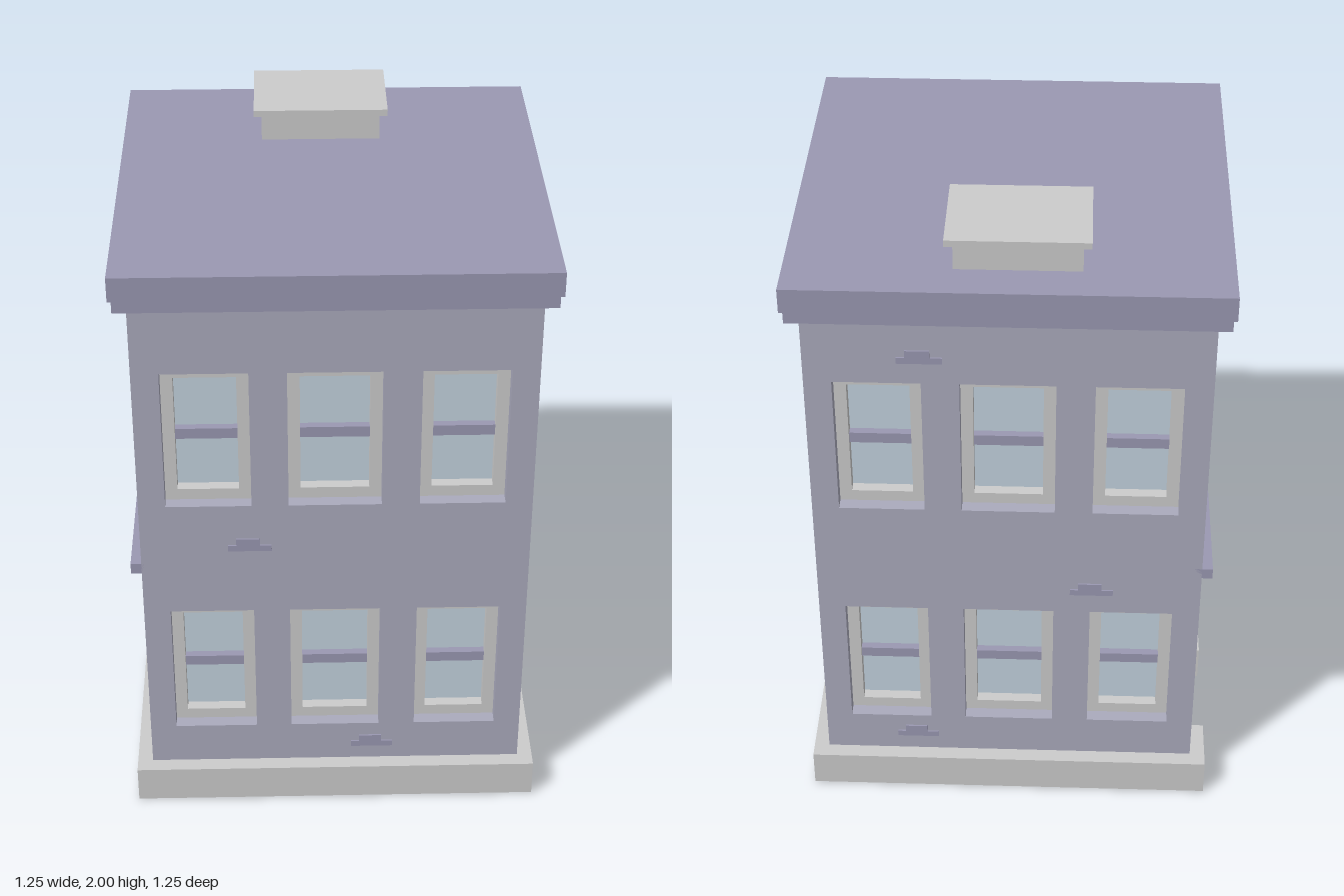
import * as THREE from 'three';

const mat = (color) => new THREE.MeshStandardMaterial({ color });
const stone = mat(0xcccccc), brick = mat(0xaaaabc), trim = mat(0x9a98b2), glass = mat(0xc2d2de);
const HALF = 0.58, WALL = 0.08;

function add(parent, name, geometry, material) {
  const mesh = new THREE.Mesh(geometry, material);
  mesh.name = name;
  parent.add(mesh);
  return mesh;
}

// Box given by its extents on each axis
function box(parent, name, [x0, x1], [y0, y1], [z0, z1], material) {
  const g = new THREE.BoxGeometry(x1 - x0, y1 - y0, z1 - z0);
  g.translate((x0 + x1) / 2, (y0 + y1) / 2, (z0 + z1) / 2);
  return add(parent, name, g, material);
}

const rect = (C, x0, x1, y0, y1) => new C([[x0, y0], [x1, y0], [x1, y1], [x0, y1]]
  .map(([x, y]) => new THREE.Vector2(x, y)));

// Flat panel with rectangular holes, its back at z
function panel(parent, name, outer, holes, z, depth, material) {
  const shape = rect(THREE.Shape, ...outer);
  shape.holes = holes.map((h) => rect(THREE.Path, ...h));
  const g = new THREE.ExtrudeGeometry(shape, { depth, bevelEnabled: false });
  g.translate(0, 0, z);
  return add(parent, name, g, material);
}

// Recessed sash window: frame, meeting rail, glass
function sashWindow(parent, [x0, x1, y0, y1], plain) {
  const group = new THREE.Group();
  group.name = 'window';
  parent.add(group);
  const f = 0.036, mid = y0 + 0.223, back = HALF - WALL;
  panel(group, 'windowFrame', [x0, x1, y0, y1], [[x0 + f, x1 - f, y0 + f, y1 - f]],
    back, 0.04, plain ? brick : stone);
  box(group, 'meetingRail', [x0 + f, x1 - f], [mid - 0.017, mid + 0.017], [back, back + 0.03], trim);
  box(group, 'windowGlass', [x0 + f, x1 - f], [y0 + f, y1 - f], [back, back + 0.006], glass);
  if (plain) box(group, 'windowSill', [x0 + f, x1 - f], [y0, y0 + f], [back, back + 0.045], stone);
}

// Recessed glazed door with a large upper and a small lower pane
function door(parent, [x0, x1, y0, y1]) {
  const group = new THREE.Group();
  group.name = 'door';
  parent.add(group);
  const f = 0.045, back = HALF - 0.06;
  panel(group, 'doorLeaf', [x0, x1, y0, y1],
    [[x0 + f, x1 - f, 0.05, 0.21], [x0 + f, x1 - f, 0.265, y1 - f]], back, 0.03, trim);
  box(group, 'doorGlass', [x0 + f, x1 - f], [0.05, y1 - f], [back, back + 0.01], glass);
}

// Small cluster of raised bricks
function brickCluster(parent, [x, y]) {
  const z = [HALF - 0.01, HALF + 0.005];
  box(parent, 'raisedBricks', [x - 0.065, x + 0.065], [y - 0.02, y], z, trim);
  box(parent, 'raisedBricks', [x - 0.04, x + 0.03], [y, y + 0.023], z, trim);
}

function facade(parent, { name, angle, openings, doorway, plainIndex = -1, bricks }) {
  const side = new THREE.Group();
  side.name = name;
  side.rotation.y = angle;
  parent.add(side);
  const holes = doorway ? [...openings, doorway] : openings;
  panel(side, 'wall', [-HALF, HALF, 0, 1.79], holes, HALF - WALL, WALL, brick);
  openings.forEach((o, i) => sashWindow(side, o, i === plainIndex));
  if (doorway) door(side, doorway);
  bricks.forEach((b) => brickCluster(side, b));
  return side;
}

export function createModel() {
  const house = new THREE.Group();
  house.name = 'house';

  // Four walls, each laid out facing forward and then turned
  const low = [0.265, 0.72], high = [1.105, 1.56];
  const left = [-0.5, -0.247], middle = [-0.138, 0.136], right = [0.247, 0.5];
  const upper = [left, middle, right].map((s) => [...s, ...high]);
  const row = (...spans) => [...upper, ...spans.map((s) => [...s, ...low])];

  facade(house, { name: 'frontSide', angle: 0, openings: row(left, middle, right),
    bricks: [[-0.255, 0.965], [0.115, 0.195]] });
  facade(house, { name: 'rightSide', angle: Math.PI / 2, openings: row(left, [-0.153, 0.15], right),
    plainIndex: 2, bricks: [[-0.245, 1.635], [0.215, 0.94], [-0.175, 0.845]] });
  facade(house, { name: 'backSide', angle: Math.PI, openings: row(left, middle, right),
    bricks: [[-0.25, 1.65], [0.25, 0.81], [-0.29, 0.2]] });
  const doorSide = facade(house, { name: 'doorSide', angle: -Math.PI / 2, openings: row([0.095, 0.51]),
    doorway: [-0.45, -0.09, 0.005, 0.72], bricks: [[0.153, 1.66], [-0.275, 1.0], [0.285, 0.2]] });
  box(doorSide, 'ledge', [-HALF, HALF], [0.865, 0.9], [HALF - 0.02, 0.612], trim);

  // Plinth with a gap in front of the door
  const P = 0.627, d0 = 0.45, d1 = 0.09;
  const outline = new THREE.Shape([[-P, -P], [P, -P], [P, P], [-P, P], [-P, d0], [-0.525, d0],
    [-0.525, d1], [-P, d1]].map(([x, y]) => new THREE.Vector2(x, y)));
  const plinth = new THREE.ExtrudeGeometry(outline, { depth: 0.12, bevelEnabled: false });
  plinth.rotateX(-Math.PI / 2).translate(0, 0.005, 0);
  add(house, 'plinth', plinth, stone);
  box(house, 'floor', [-HALF, HALF], [0, 0.012], [-HALF, HALF], trim);

  // Cornice and flat roof
  box(house, 'cornice', [-0.617, 0.617], [1.78, 1.825], [-0.617, 0.617], trim);
  box(house, 'roof', [-P, P], [1.82, 1.895], [-P, P], trim);

  // Roof hatch
  box(house, 'hatchBase', [-0.205, 0.155], [1.89, 1.98], [-0.505, -0.245], stone);
  box(house, 'hatchLid', [-0.228, 0.178], [1.98, 2], [-0.528, -0.222], stone);
  return house;
}
